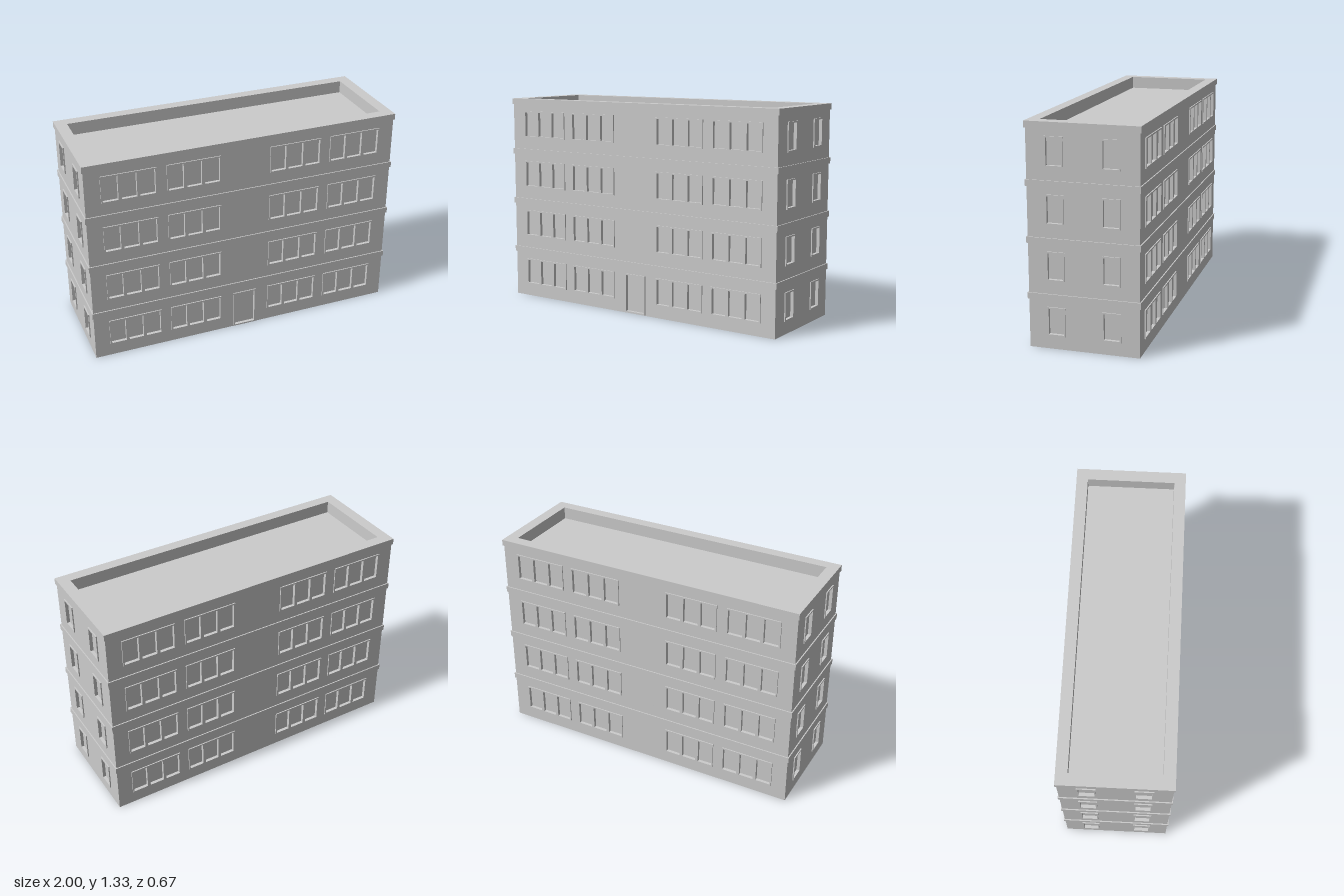
import * as THREE from 'three';

const W = 0.993, D = 0.33;            // half width and depth of the walls
const STOREY = 0.332, FLOORS = 4, TOP = 1.327;
const OUT = 0.007, RECESS = 0.015;    // frame projection and pane setback
const mat = new THREE.MeshStandardMaterial({ color: 0xcccccc, side: THREE.DoubleSide });

function rect(Type, x0, y0, x1, y1) {
  return new Type([[x0, y0], [x1, y0], [x1, y1], [x0, y1]].map(p => new THREE.Vector2(...p)));
}

function add(parent, name, geometry, x = 0, y = 0, z = 0) {
  const mesh = new THREE.Mesh(geometry, mat);
  mesh.name = name;
  mesh.position.set(x, y, z);
  parent.add(mesh);
  return mesh;
}

// Opening with a projecting frame, mullions and set-back panes
function opening(name, x, y, panes, paneW, paneH, gap, rim) {
  const width = panes * paneW + (panes - 1) * gap;
  const cells = [];
  for (let i = 0; i < panes; i++) {
    const x0 = x - width / 2 + i * (paneW + gap);
    cells.push([x0, y - paneH / 2, x0 + paneW, y + paneH / 2]);
  }
  const outer = [x - width / 2 - rim, y - paneH / 2 - rim, x + width / 2 + rim, y + paneH / 2 + rim];
  return { name, cells, outer };
}

// Flat wall with holes, carrying its windows (and door)
function facade(name, halfWidth, openings) {
  const group = new THREE.Group();
  group.name = name;
  const wall = rect(THREE.Shape, -halfWidth, 0, halfWidth, TOP - 0.038);
  for (const o of openings) {
    wall.holes.push(rect(THREE.Path, ...o.outer));
    const frame = rect(THREE.Shape, ...o.outer);
    o.cells.forEach(c => frame.holes.push(rect(THREE.Path, ...c)));
    add(group, o.name + 'Frame',
      new THREE.ExtrudeGeometry(frame, { depth: OUT + RECESS, bevelEnabled: false }), 0, 0, -RECESS);
    for (const [x0, y0, x1, y1] of o.cells) {
      add(group, o.name + 'Panel', new THREE.PlaneGeometry(x1 - x0, y1 - y0),
        (x0 + x1) / 2, (y0 + y1) / 2, -RECESS + 0.002);
    }
  }
  add(group, 'wall', new THREE.ShapeGeometry(wall));
  return group;
}

// Horizontal rectangular ring
function ring(parent, name, outX, outZ, inX, inZ, y, height) {
  const shape = rect(THREE.Shape, -outX, -outZ, outX, outZ);
  shape.holes.push(rect(THREE.Path, -inX, -inZ, inX, inZ));
  const geometry = new THREE.ExtrudeGeometry(shape, { depth: height, bevelEnabled: false });
  geometry.rotateX(-Math.PI / 2);
  add(parent, name, geometry, 0, y, 0);
}

export function createModel() {
  const model = new THREE.Group();
  model.name = 'apartmentBuilding';

  // Windows of the long and the short walls
  const longWindows = [], shortWindows = [];
  for (let f = 0; f < FLOORS; f++) {
    const y = 0.167 + f * 0.331;
    for (const x of [-0.728, -0.328, 0.328, 0.728])
      longWindows.push(opening('tripleWindow', x, y, 3, 0.094, 0.156, 0.019, 0.009));
    for (const x of [-0.165, 0.165])
      shortWindows.push(opening('sideWindow', x, y, 1, 0.092, 0.156, 0, 0.009));
  }
  const door = opening('door', 0, 0.129, 1, 0.136, 0.232, 0, 0.009);

  // Four walls
  const front = facade('frontWall', W, [...longWindows, door]);
  front.position.z = D;
  const back = facade('backWall', W, longWindows);
  back.position.z = -D;
  back.rotation.y = Math.PI;
  const left = facade('leftWall', D, shortWindows);
  left.position.x = W;
  left.rotation.y = Math.PI / 2;
  const right = facade('rightWall', D, shortWindows);
  right.position.x = -W;
  right.rotation.y = -Math.PI / 2;
  model.add(front, back, left, right);

  // Bands between the storeys
  for (let f = 1; f < FLOORS; f++)
    ring(model, 'storeyBand', W + OUT, D + OUT, W, D, f * STOREY - 0.037, 0.037);

  // Parapet cornice, its inner lining and the sunken roof
  ring(model, 'cornice', W + OUT, D + OUT, 0.928, 0.267, TOP - 0.038, 0.038);
  ring(model, 'parapet', W - 0.002, D - 0.002, 0.928, 0.267, 1.249, 0.04);
  const roof = new THREE.PlaneGeometry(1.856, 0.534);
  roof.rotateX(-Math.PI / 2);
  add(model, 'roof', roof, 0, 1.249, 0);

  return model;
}
